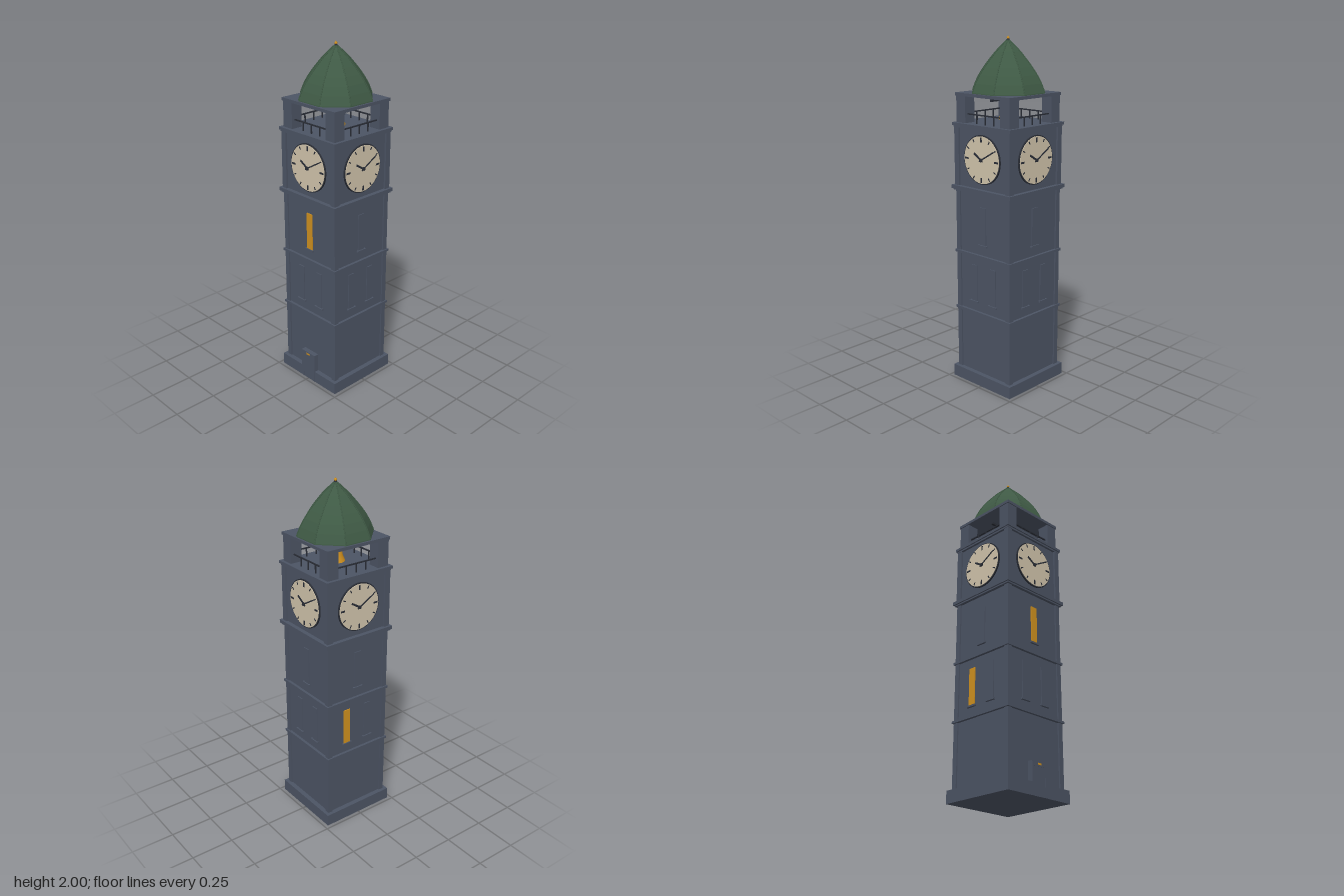
import * as THREE from 'three';
import { toCreasedNormals } from 'three/addons/utils/BufferGeometryUtils.js';

const mat = (name, color) => Object.assign(new THREE.MeshStandardMaterial({ color }), { name });

export function createModel() {
  const stone = mat('slate stone', 0x4c5464);
  const dark = mat('dark iron', 0x2a2e37);
  const green = mat('green copper', 0x3f5a45);
  const cream = mat('cream dial', 0xd2c5ac);
  const gold = mat('amber gold', 0xd0911f);

  const model = new THREE.Group();
  model.name = 'clockTower';

  const add = (parent, name, geo, material, x = 0, y = 0, z = 0) => {
    const mesh = new THREE.Mesh(geo, material);
    mesh.name = name;
    mesh.position.set(x, y, z);
    parent.add(mesh);
    return mesh;
  };
  // box given by its width, bottom, top and depth
  const box = (parent, name, material, w, y0, y1, d, x = 0, z = 0) =>
    add(parent, name, new THREE.BoxGeometry(w, y1 - y0, d), material, x, (y0 + y1) / 2, z);
  const slab = (name, half, y0, y1) => box(model, name, stone, half * 2, y0, y1, half * 2);

  // stacked masonry
  slab('base', 0.228, 0, 0.07);
  slab('shaft', 0.2, 0.07, 1.15);
  slab('lowerBand', 0.216, 0.436, 0.45);
  slab('upperBand', 0.216, 0.779, 0.793);
  slab('clockCorniceLower', 0.218, 1.146, 1.154);
  slab('clockCornice', 0.226, 1.154, 1.174);
  slab('clockStage', 0.201, 1.174, 1.508);
  slab('belfryCorniceLower', 0.214, 1.502, 1.512);
  slab('belfryCornice', 0.221, 1.512, 1.528);
  slab('belfryCeiling', 0.207, 1.675, 1.692);

  // corner pilasters and belfry posts
  for (const sx of [-1, 1]) for (const sz of [-1, 1]) {
    box(model, 'shaftPilaster', stone, 0.03, 0.07, 1.15, 0.03, sx * 0.193, sz * 0.193);
    box(model, 'clockPilaster', stone, 0.034, 1.174, 1.508, 0.034, sx * 0.195, sz * 0.195);
    box(model, 'belfryPost', stone, 0.07, 1.528, 1.675, 0.07, sx * 0.167, sz * 0.167);
  }

  // one set of windows, clock and railing for each side; lit windows are numbered
  const windows = [[0, 0.855, 1.07], [-0.073, 0.51, 0.725], [0.073, 0.51, 0.725]];
  const lit = { front: 0, left: -1, back: -1, right: 1 };
  ['front', 'left', 'back', 'right'].forEach((sideName, i) => {
    const side = new THREE.Group();
    side.name = sideName + 'Side';
    side.rotation.y = i * Math.PI / 2;
    model.add(side);

    windows.forEach(([x, y0, y1], n) => {
      box(side, 'window', n === lit[sideName] ? gold : stone, 0.044, y0, y1, 0.008, x, 0.201);
      box(side, 'windowSill', stone, 0.064, y0 - 0.01, y0, 0.016, x, 0.204);
    });

    // clock face with hour marks and hands
    const clock = new THREE.Group();
    clock.name = 'clock';
    clock.position.set(0, 1.34, 0.2);
    side.add(clock);
    const rim = add(clock, 'clockRim', new THREE.CylinderGeometry(0.137, 0.137, 0.009, 40), dark, 0, 0, 0.0045);
    const dial = add(clock, 'clockDial', new THREE.CylinderGeometry(0.131, 0.131, 0.012, 40), cream, 0, 0, 0.006);
    rim.rotation.x = dial.rotation.x = Math.PI / 2;
    const bar = (name, angle, from, to, w, z) => {
      const mid = (from + to) / 2;
      const mesh = add(clock, name, new THREE.BoxGeometry(w, to - from, 0.003), dark,
        Math.sin(angle) * mid, Math.cos(angle) * mid, z);
      mesh.rotation.z = -angle;
    };
    for (let h = 0; h < 12; h++) {
      const quarter = h % 3 === 0;
      bar('hourMark', h * Math.PI / 6, quarter ? 0.098 : 0.108, 0.125, quarter ? 0.01 : 0.006, 0.0125);
    }
    bar('hourHand', -Math.PI * 0.325, -0.012, 0.062, 0.011, 0.0145);
    bar('minuteHand', Math.PI / 3, -0.015, 0.108, 0.007, 0.0165);
    const hub = add(clock, 'clockHub', new THREE.CylinderGeometry(0.01, 0.01, 0.008, 12), dark, 0, 0, 0.016);
    hub.rotation.x = Math.PI / 2;

    // belfry railing
    box(side, 'railing', dark, 0.27, 1.574, 1.581, 0.007, 0, 0.18);
    for (const x of [-0.065, 0, 0.065]) box(side, 'baluster', dark, 0.006, 1.528, 1.575, 0.006, x, 0.18);
  });

  // doorway
  for (const s of [-1, 1]) box(model, 'doorJamb', stone, 0.017, 0, 0.18, 0.03, s * 0.0475, 0.2145);
  box(model, 'doorLintel', stone, 0.078, 0.155, 0.18, 0.03, 0, 0.2145);
  box(model, 'door', stone, 0.078, 0, 0.155, 0.028, 0, 0.2142);
  box(model, 'doorLamp', gold, 0.024, 0.163, 0.173, 0.004, 0, 0.2285);

  // bell on its beam
  box(model, 'bellBeam', dark, 0.27, 1.65, 1.662, 0.014);
  const bellProfile = [[0, 1.548], [0.04, 1.548], [0.053, 1.543], [0.05, 1.552], [0.04, 1.575],
    [0.035, 1.61], [0.028, 1.635], [0.015, 1.647], [0, 1.65]].map(p => new THREE.Vector2(...p));
  add(model, 'bell', toCreasedNormals(new THREE.LatheGeometry(bellProfile, 16), 0.6), gold);

  // eight-sided curved roof: half width across the flats and height
  const cornerScale = 1 / Math.cos(Math.PI / 8);
  const roofProfile = [[0, 1.688], [0.197, 1.688], [0.196, 1.697], [0.178, 1.745], [0.155, 1.79],
    [0.128, 1.832], [0.098, 1.872], [0.064, 1.914], [0.033, 1.946], [0.008, 1.972], [0, 1.974]]
    .map(([r, y]) => new THREE.Vector2(r * cornerScale, y));
  const roofGeo = new THREE.LatheGeometry(roofProfile, 8, Math.PI / 8).toNonIndexed();
  roofGeo.computeVertexNormals();
  add(model, 'roof', roofGeo, green);

  // ribs along the roof corners
  for (let k = 0; k < 8; k++) {
    const a = Math.PI / 8 + k * Math.PI / 4;
    const path = new THREE.CatmullRomCurve3(roofProfile.slice(2, 10)
      .map(p => new THREE.Vector3(p.x * Math.sin(a), p.y, p.x * Math.cos(a))));
    add(model, 'roofRib', new THREE.TubeGeometry(path, 14, 0.0035, 6), green);
  }

  // finial
  add(model, 'finialCollar', new THREE.CylinderGeometry(0.007, 0.011, 0.012, 10), dark, 0, 1.973, 0);
  add(model, 'finialBall', new THREE.SphereGeometry(0.008, 12, 8), gold, 0, 1.984, 0);
  add(model, 'finialSpike', new THREE.ConeGeometry(0.004, 0.016, 8), gold, 0, 1.992, 0);

  return model;
}
